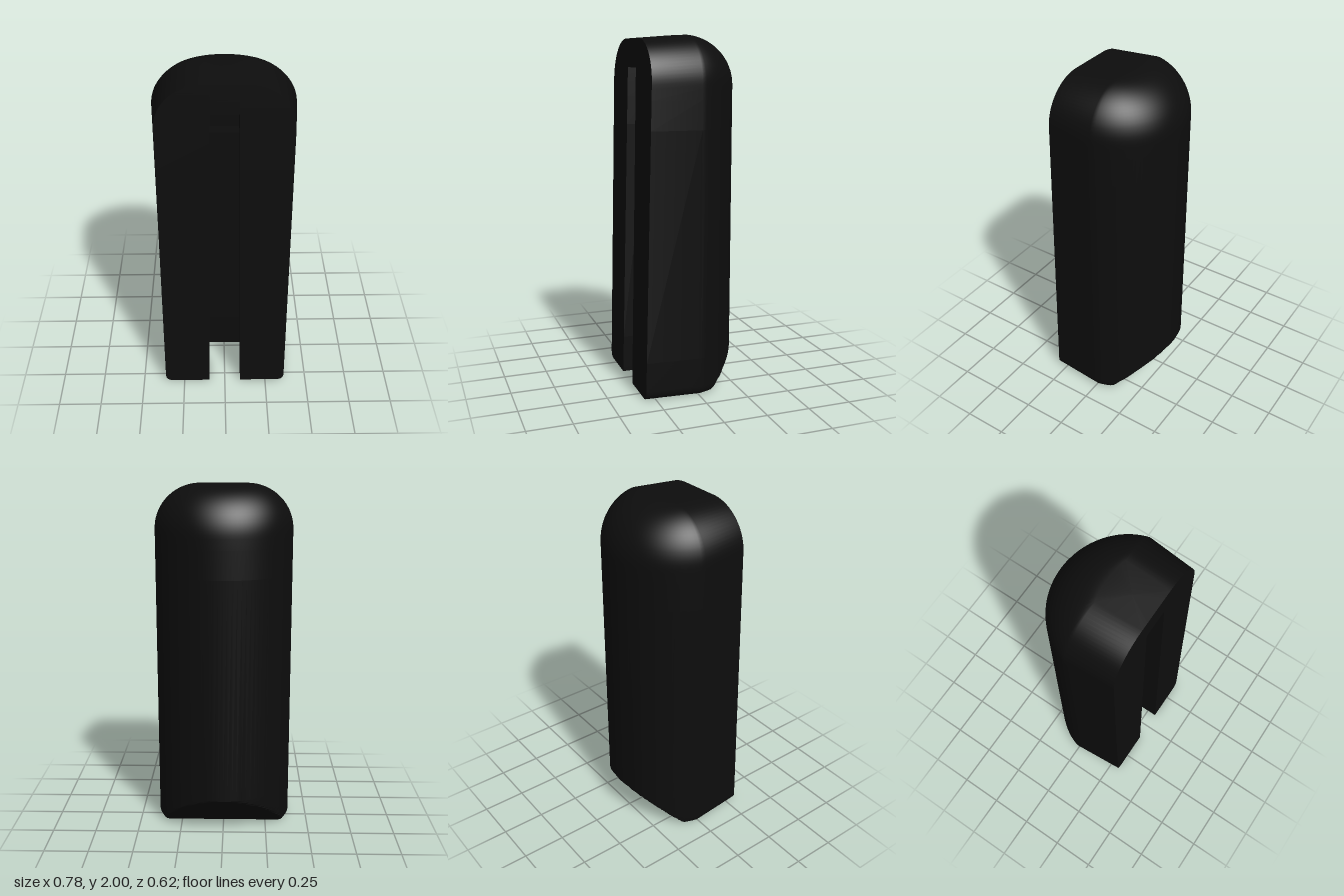
import * as THREE from 'three';
import { toCreasedNormals } from 'three/addons/utils/BufferGeometryUtils.js';

const HALF = 0.39, BACK = 0.31, DOME = 1.72, TOP = 2, ARC = 40;

// Recess behind the front slot at each kind of level: half width and back depth
const recesses = {
  cavity: () => [0.26, -0.03],
  slot: (w) => [w, 0.15],
  pocket: (w) => [w, 0.08],
};

// One horizontal outline of the body, counterclockwise seen from above
function outline(y, kind) {
  const t = Math.min(1, Math.max(0, (y - DOME) / (TOP - DOME)));
  const tx = Math.min(1, Math.max(0, (y - 1.745) / (TOP - 1.745)));
  let halfWidth = 0.13 + (HALF - 0.13) * Math.sqrt(1 - tx * tx);
  if (y < 0.04) halfWidth -= 0.04 - Math.sqrt(0.0016 - (0.04 - y) ** 2);
  const sx = halfWidth / HALF;
  const sz = (0.02 + (BACK - 0.02) * Math.sqrt(1 - t * t)) / BACK;
  const front = 0.308 - 0.025 * y;
  const cut = -0.08 - y * 1.045; // slanted underside at the back
  const pts = [];
  const put = (x, z) => {
    const drop = 0.02 * t * Math.max(0, (z + 0.02) / 0.28);
    pts.push(new THREE.Vector3(x, y - drop, z));
  };

  // Sides and rounded back
  put(0.365 * sx, front);
  const R = 0.403, cz = 0.093, a0 = Math.asin((cz + 0.01) / R);
  for (let i = 0; i <= ARC; i++) {
    const a = a0 + (Math.PI - 2 * a0) * i / ARC;
    put(R * Math.cos(a) * sx, Math.max(cut, (cz - R * Math.sin(a)) * sz));
  }
  put(-0.365 * sx, front);

  // Front slot with the wider recess behind it
  const w = 0.095 - 0.0098 * y;
  const lip = kind === 'solid' ? front : 0.15;
  const [c, zb] = kind === 'solid' ? [w, front] : recesses[kind](w);
  const right = [[w, front], [w, lip], [c, lip], [c, zb]];
  right.forEach(([x, z]) => put(-x, z));
  right.reverse().forEach(([x, z]) => put(x, z));
  return pts;
}

function bodyGeometry() {
  // Levels from the underside to the top; repeated heights make flat steps
  const levels = [0, 0.005, 0.012, 0.024, 0.04].map((y) => [y, 'cavity']);
  for (let i = 1; i <= 12; i++) levels.push([0.04 + 0.18 * i / 12, 'cavity']);
  levels.push([1.5, 'cavity'], [1.5, 'slot'], [1.66, 'slot'], [1.66, 'pocket']);
  const domeYs = [];
  for (let i = 0; i <= 20; i++) {
    domeYs.push(DOME + (TOP - DOME) * Math.sin(i / 20 * Math.PI / 2));
  }
  domeYs.filter((y) => y < 1.825).forEach((y) => levels.push([y, 'pocket']));
  levels.push([1.83, 'pocket'], [1.83, 'solid']);
  domeYs.filter((y) => y > 1.835).forEach((y) => levels.push([y, 'solid']));

  const loops = levels.map(([y, kind]) => outline(y, kind));
  const position = [];
  const tri = (a, b, c) => {
    const area = b.clone().sub(a).cross(c.clone().sub(a)).length();
    if (area > 1e-8) [a, b, c].forEach((p) => position.push(p.x, p.y, p.z));
  };

  // Walls between neighbouring outlines
  for (let k = 0; k + 1 < loops.length; k++) {
    const lo = loops[k], hi = loops[k + 1], n = lo.length;
    for (let i = 0; i < n; i++) {
      const j = (i + 1) % n;
      tri(lo[i], lo[j], hi[j]);
      tri(lo[i], hi[j], hi[i]);
    }
  }

  // Underside
  const base = loops[0];
  const flat = base.map((p) => new THREE.Vector2(p.x, -p.z));
  for (const [a, b, c] of THREE.ShapeUtils.triangulateShape(flat, [])) {
    tri(base[a], base[c], base[b]);
  }

  // Top cap
  const top = loops[loops.length - 1];
  const centre = new THREE.Vector3(0, TOP - 0.01, 0.12);
  top.forEach((p, i) => tri(p, top[(i + 1) % top.length], centre));

  const g = new THREE.BufferGeometry();
  g.setAttribute('position', new THREE.Float32BufferAttribute(position, 3));
  return toCreasedNormals(g, 0.45);
}

export function createModel() {
  const group = new THREE.Group();
  group.name = 'slottedCap';
  const body = new THREE.Mesh(
    bodyGeometry(),
    new THREE.MeshStandardMaterial({ color: 0x0d0d0d })
  );
  body.name = 'capBody';
  group.add(body);
  return group;
}
